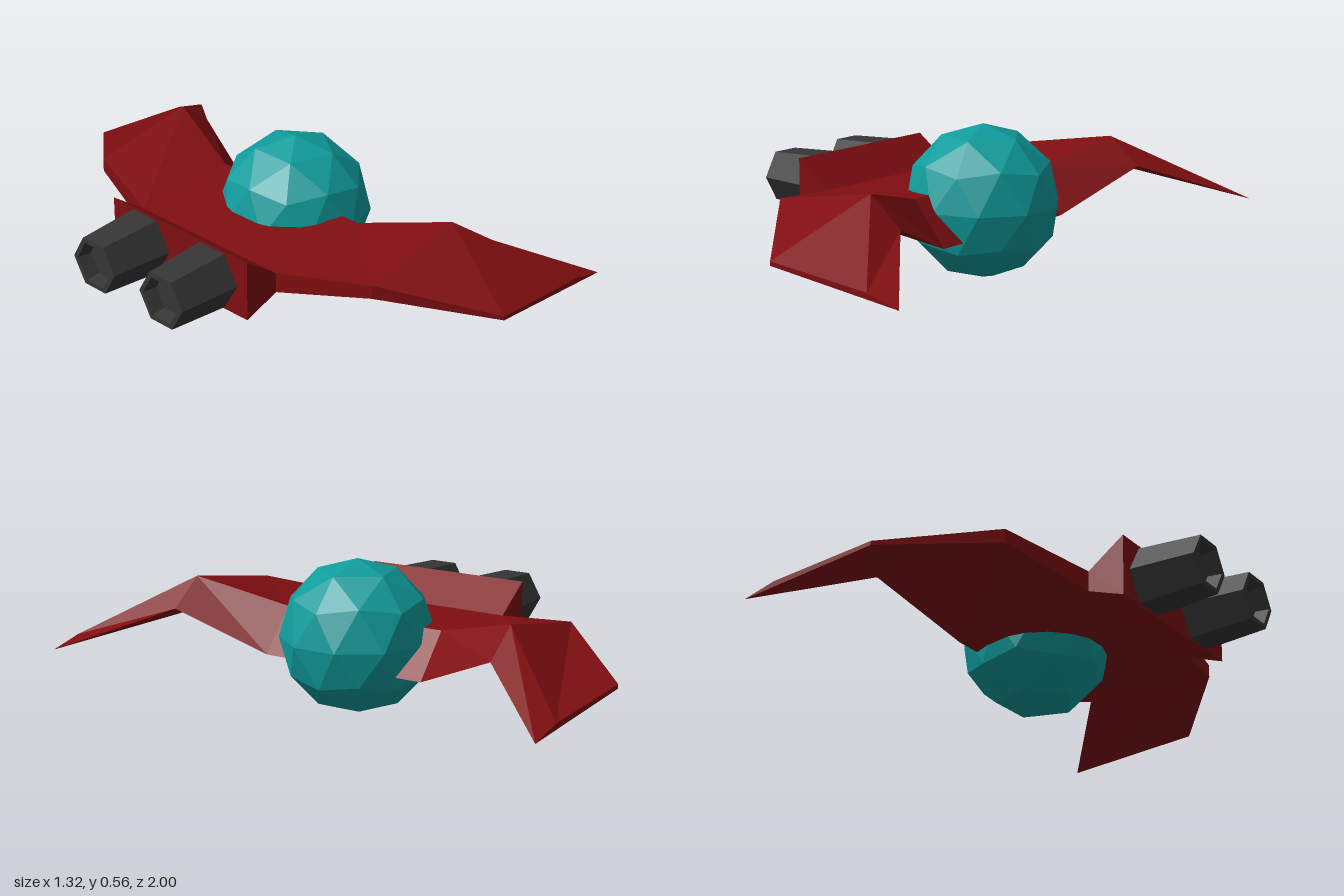
import * as THREE from 'three';

// Loft four-cornered sections [[x, y] x 4, counter-clockwise from +z] along increasing z
function loft(sections) {
  const pos = [], index = [];
  sections.forEach(({ z, pts }) => pts.forEach(([x, y]) => pos.push(x, y, z)));
  for (let i = 0; i < sections.length - 1; i++) {
    for (let j = 0; j < 4; j++) {
      const a = i * 4 + j, b = i * 4 + (j + 1) % 4;
      index.push(a, b, b + 4, a, b + 4, a + 4);
    }
  }
  const e = (sections.length - 1) * 4;
  index.push(0, 2, 1, 0, 3, 2, e, e + 1, e + 2, e, e + 2, e + 3);
  const geo = new THREE.BufferGeometry();
  geo.setAttribute('position', new THREE.Float32BufferAttribute(pos, 3));
  geo.setIndex(index);
  const flat = geo.toNonIndexed();
  flat.computeVertexNormals();
  return flat;
}

export function createModel() {
  const group = new THREE.Group();
  const paint = (color) => new THREE.MeshStandardMaterial({ color, flatShading: true });
  const red = paint(0x800e11), teal = paint(0x109c9c), dark = paint(0x363636);
  const add = (name, geo, mat) => {
    const mesh = new THREE.Mesh(geo, mat);
    mesh.name = name;
    group.add(mesh);
    return mesh;
  };

  // Swept gull wing: trailing bottom, leading edge, ridge, trailing top
  const half = [
    { z: 0.33, pts: [[-0.285, 0.235], [0.26, 0.185], [0.13, 0.34], [-0.285, 0.31]] },
    { z: 0.667, pts: [[-0.18, 0.305], [0.365, 0.33], [0.237, 0.43], [-0.18, 0.355]] },
    { z: 1, pts: [[0.11, 0.235], [0.655, 0.19], [0.525, 0.222], [0.11, 0.25]] },
  ];
  const mirrored = half.map(({ z, pts }) => ({ z: -z, pts })).reverse();
  add('wing', loft([...mirrored, ...half]), red);

  // Flared block behind the wing that carries the engines
  const flare = [[-0.425, 0.185], [-0.285, 0.235], [-0.285, 0.31], [-0.425, 0.41]];
  add('engineMount', loft([{ z: -0.33, pts: flare }, { z: 0.33, pts: flare }]), red);

  // Faceted cockpit ball, turned so that one vertex points straight up
  const ball = new THREE.IcosahedronGeometry(0.279, 1);
  ball.rotateZ(-Math.atan(2 / (1 + Math.sqrt(5))));
  add('cockpit', ball, teal).position.set(0.16, 0.282, 0);

  // Two hexagonal engines with recessed nozzles
  const profile = [[0.12, 0], [0.104, 0.24], [0.085, 0.24], [0.075, 0.19], [0, 0.19]]
    .map(([r, y]) => new THREE.Vector2(r, y));
  const engine = new THREE.LatheGeometry(profile, 6).rotateZ(Math.PI / 2);
  for (const [side, z] of [['Front', 0.163], ['Back', -0.17]]) {
    add('engine' + side, engine, dark).position.set(-0.425, 0.296, z);
  }
  return group;
}
